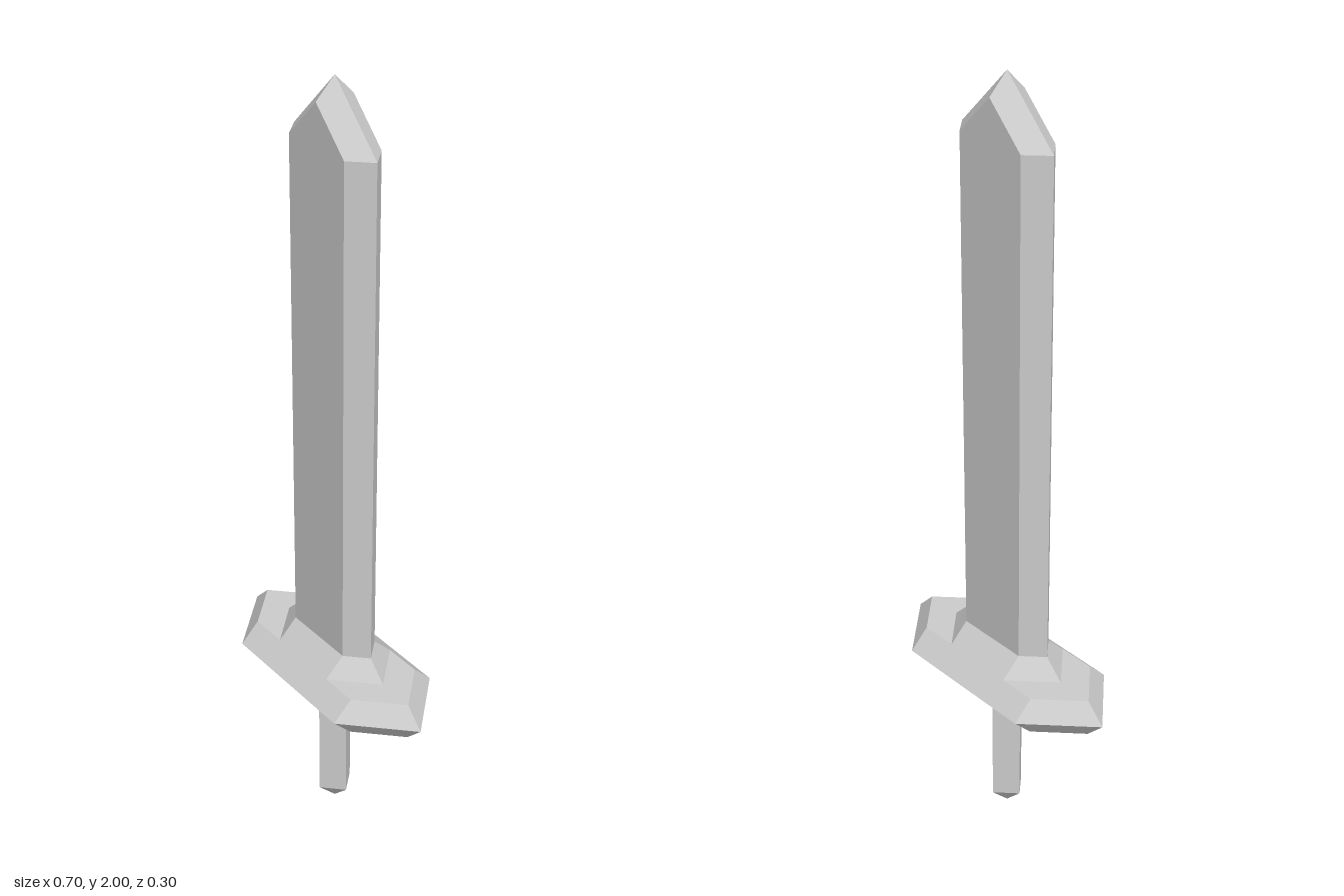
import * as THREE from 'three';

const material = new THREE.MeshStandardMaterial({ color: 0xcccccc, flatShading: true });

// Skins a stack of matching rings (bottom to top); collapsed triangles are dropped.
function loft(name, rings, capped = false) {
  const positions = [];
  const tri = (a, b, c) => {
    const area = new THREE.Vector3().subVectors(b, a).cross(new THREE.Vector3().subVectors(c, a));
    if (area.length() > 1e-8) [a, b, c].forEach((p) => positions.push(p.x, p.y, p.z));
  };
  const n = rings[0].length;
  for (let r = 0; r < rings.length - 1; r++) {
    for (let i = 0; i < n; i++) {
      const j = (i + 1) % n;
      const [low, high] = [rings[r], rings[r + 1]];
      tri(low[i], high[i], low[j]);
      tri(low[j], high[i], high[j]);
    }
  }
  if (capped) {
    const [first, last] = [rings[0], rings[rings.length - 1]];
    for (let i = 1; i < n - 1; i++) {
      tri(first[0], first[i], first[i + 1]);
      tri(last[0], last[i + 1], last[i]);
    }
  }
  const geometry = new THREE.BufferGeometry();
  geometry.setAttribute('position', new THREE.Float32BufferAttribute(positions, 3));
  geometry.computeVertexNormals();
  const mesh = new THREE.Mesh(geometry, material);
  mesh.name = name;
  return mesh;
}

// Long hexagon with pointed x ends; the middle of each broad side may rise to midY.
function hexRing(y, endX, cornerX, depth, midY = y) {
  return [
    [endX, y, 0], [cornerX, y, depth], [0, midY, depth], [-cornerX, y, depth],
    [-endX, y, 0], [-cornerX, y, -depth], [0, midY, -depth], [cornerX, y, -depth],
  ].map((p) => new THREE.Vector3(...p));
}

// Diamond section, corners on the x and z axes.
function diamondRing(y, r) {
  return [[r, 0], [0, r], [-r, 0], [0, -r]].map(([x, z]) => new THREE.Vector3(x, y, z));
}

export function createModel() {
  const group = new THREE.Group();
  group.name = 'sword';

  // Bevelled blade with a chiselled point
  group.add(loft('blade', [
    hexRing(0.55, 0.15, 0.1, 0.05),
    hexRing(1.85, 0.15, 0.1, 0.05, 1.95),
    hexRing(2, 0, 0, 0),
  ]));

  // Sloped collar joining the blade to the guard
  group.add(loft('bladeCollar', [
    hexRing(0.5, 0.2, 0.1, 0.1),
    hexRing(0.55, 0.15, 0.1, 0.05),
  ]));

  // Crossguard, bevelled above and below
  group.add(loft('crossguard', [
    hexRing(0.4, 0.3, 0.2, 0.1),
    hexRing(0.45, 0.35, 0.2, 0.15),
    hexRing(0.5, 0.3, 0.2, 0.1),
  ], true));

  // Grip flaring into the guard
  group.add(loft('grip', [diamondRing(0.05, 0.05), diamondRing(0.35, 0.05)]));
  group.add(loft('gripFlare', [diamondRing(0.35, 0.05), diamondRing(0.4, 0.1)]));

  // Pointed end of the grip
  group.add(loft('pommel', [diamondRing(0, 0), diamondRing(0.05, 0.05)]));

  return group;
}
